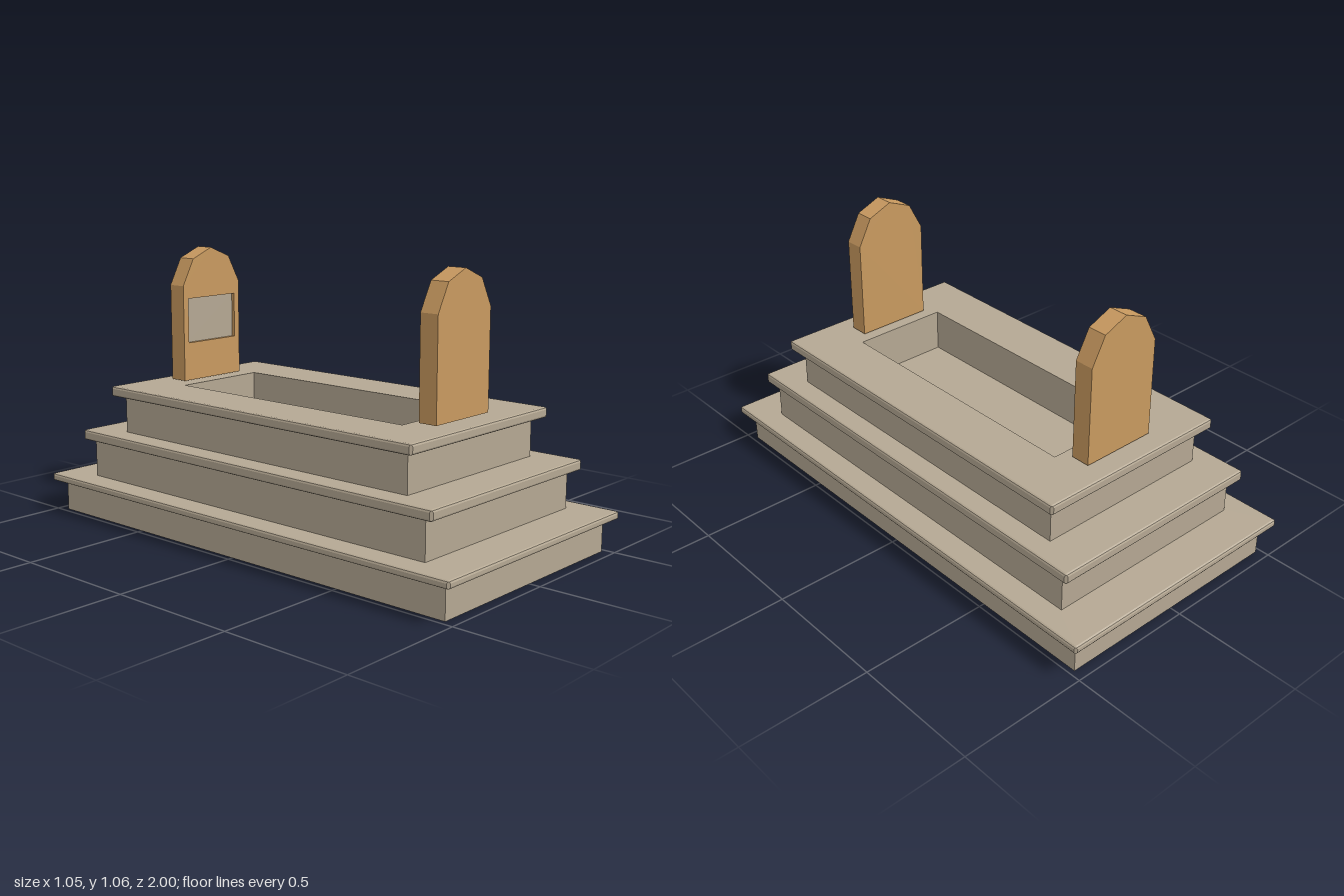
import * as THREE from 'three';

const stone = new THREE.MeshStandardMaterial({ color: 0xb5a893 });
stone.name = 'greyStone';
const sandstone = new THREE.MeshStandardMaterial({ color: 0xc99a60 });
sandstone.name = 'orangeSandstone';

function addMesh(parent, name, geometry, material) {
  const mesh = new THREE.Mesh(geometry, material);
  mesh.name = name;
  parent.add(mesh);
  return mesh;
}

// Skin through rectangular rings [halfX, halfZ, y, cornerCut], flat shaded.
function ringSkin(rings) {
  const loops = rings.map(([x, z, y, c = 0]) => [
    [x, y, z - c], [x, y, -z + c], [x - c, y, -z], [-x + c, y, -z],
    [-x, y, -z + c], [-x, y, z - c], [-x + c, y, z], [x - c, y, z],
  ]);
  const pos = [];
  const tri = (...pts) => {
    const [a, b, c] = pts.map((p) => new THREE.Vector3(...p));
    if (new THREE.Triangle(a, b, c).getArea() > 1e-9) pts.forEach((p) => pos.push(...p));
  };
  for (let r = 0; r < loops.length - 1; r++) {
    const a = loops[r], b = loops[r + 1];
    for (let i = 0; i < 8; i++) {
      const j = (i + 1) % 8;
      tri(a[i], a[j], b[j]);
      tri(a[i], b[j], b[i]);
    }
  }
  const g = new THREE.BufferGeometry();
  g.setAttribute('position', new THREE.Float32BufferAttribute(pos, 3));
  g.computeVertexNormals();
  return g;
}

// Plinth wall, closed underneath.
const wallRings = (x, z, y0, y1) => [[0, 0, y0], [x, z, y0], [x, z, y1]];

// Overhanging slab with bevelled edges.
function slabRings(x, z, y0, y1, inX, inZ) {
  const b = 0.009, s = 0.003;
  return [
    [inX, inZ, y0], [x - b, z - b, y0, s], [x - s, z - s, y0 + s, s], [x, z, y0 + b, b],
    [x, z, y1 - b, b], [x - s, z - s, y1 - s, s], [x - b, z - b, y1, s],
  ];
}

// Pointed marker outline.
function markerShape() {
  return new THREE.Shape([
    [-0.153, 0.533], [0.153, 0.533], [0.153, 0.915], [0.097, 1.02],
    [0, 1.06], [-0.097, 1.02], [-0.153, 0.915],
  ].map(([x, y]) => new THREE.Vector2(x, y)));
}

const extrude = (shape, depth) =>
  new THREE.ExtrudeGeometry(shape, { depth, bevelEnabled: false });

export function createModel() {
  const model = new THREE.Group();
  model.name = 'steppedTomb';

  // Three stepped tiers: wall half sizes, slab half sizes, heights
  const tiers = [
    { name: 'lower', wall: [0.48, 0.957], slab: [0.523, 1.0], y: [0, 0.123, 0.153] },
    { name: 'middle', wall: [0.425, 0.833], slab: [0.453, 0.877], y: [0.153, 0.3, 0.341] },
    { name: 'upper', wall: [0.365, 0.71], slab: [0.405, 0.754], y: [0.341, 0.487, 0.527] },
  ];
  for (const { name, wall, slab, y } of tiers) {
    const top = name === 'upper'
      // Sunken planting bed in the top tier
      ? [[0.194, 0.55, y[2]], [0.194, 0.55, 0.36], [0, 0, 0.36]]
      : [[0, 0, y[2]]];
    addMesh(model, name + 'TierWall', ringSkin(wallRings(...wall, y[0], y[1])), stone);
    addMesh(model, name + 'TierSlab',
      ringSkin([...slabRings(...slab, y[1], y[2], ...wall), ...top]), stone);
  }

  // Plain marker at the foot
  addMesh(model, 'footMarker', extrude(markerShape(), 0.075), sandstone).position.z = 0.59;

  // Head marker with a recessed panel facing the bed
  const head = new THREE.Group();
  head.name = 'headMarker';
  head.position.z = -0.67;
  model.add(head);
  addMesh(head, 'headMarkerBody', extrude(markerShape(), 0.057), sandstone);
  const frame = markerShape();
  frame.holes.push(new THREE.Path([
    [-0.127, 0.685], [-0.127, 0.863], [0.127, 0.863], [0.127, 0.685],
  ].map(([x, y]) => new THREE.Vector2(x, y))));
  addMesh(head, 'headMarkerFrame', extrude(frame, 0.018), sandstone).position.z = 0.057;
  addMesh(head, 'inscriptionPanel', new THREE.BoxGeometry(0.254, 0.178, 0.004), stone)
    .position.set(0, 0.774, 0.059);

  return model;
}
